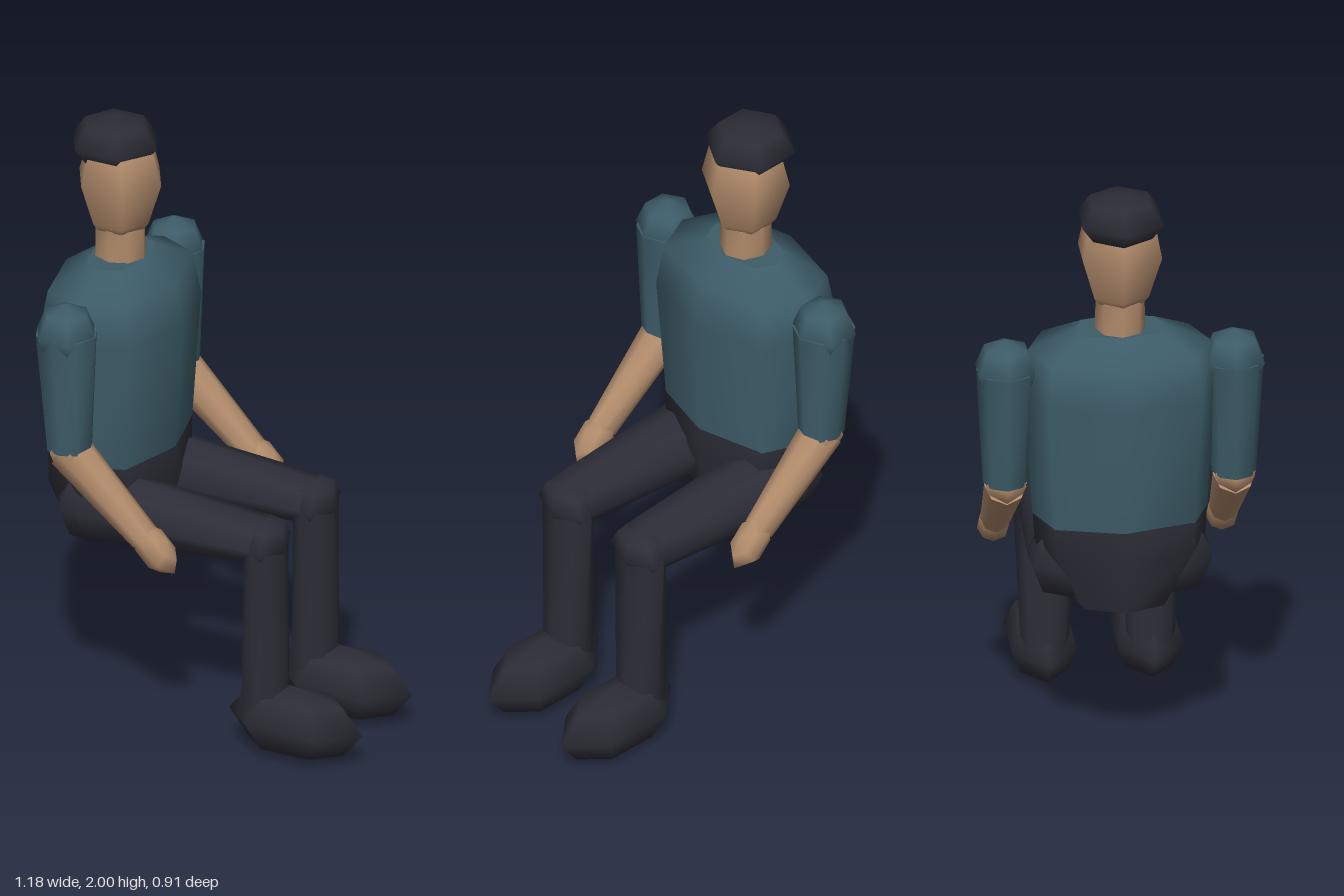
import * as THREE from 'three';

const CX = -0.367;  // body axis, the figure looks along +x
const CZ = -0.008;

// Loft of elliptical rings [x, y, radius in the xy plane, radius in z] along direction (dx, dy)
function loft(rings, dx, dy, sides, zPower = 1) {
  const len = Math.hypot(dx, dy), ux = dy / len, uy = -dx / len;
  const pos = [], idx = [];
  const addRing = ([x, y, ru, rz]) => {
    const start = pos.length / 3;
    for (let i = 0; i < sides; i++) {
      const a = (i / sides) * Math.PI * 2, c = Math.cos(a) * ru, s = Math.sin(a);
      pos.push(x + ux * c, y + uy * c, Math.sign(s) * Math.abs(s) ** zPower * rz);
    }
    return start;
  };
  const starts = rings.map(addRing);
  for (let k = 0; k < rings.length - 1; k++) {
    for (let i = 0; i < sides; i++) {
      const j = (i + 1) % sides;
      const a = starts[k] + i, b = starts[k] + j, c = starts[k + 1] + i, d = starts[k + 1] + j;
      idx.push(a, c, b, b, c, d);
    }
  }
  // flat caps with their own vertices
  const lo = addRing(rings[0]), hi = addRing(rings[rings.length - 1]);
  for (let i = 1; i < sides - 1; i++) {
    idx.push(lo, lo + i, lo + i + 1, hi, hi + i + 1, hi + i);
  }
  const g = new THREE.BufferGeometry();
  g.setAttribute('position', new THREE.Float32BufferAttribute(pos, 3));
  g.setIndex(idx);
  g.computeVertexNormals();
  return g;
}

export function createModel() {
  const mat = (name, color) => {
    const m = new THREE.MeshStandardMaterial({ color });
    m.name = name;
    return m;
  };
  const shirt = mat('teal shirt', 0x3d5c68);
  const skin = mat('skin', 0xb08a6a);
  const trousers = mat('dark trousers', 0x2d2d38);
  const dark = mat('dark hair and shoes', 0x2c2c36);

  const model = new THREE.Group();
  model.name = 'seatedFigure';

  const add = (parent, name, geometry, material) => {
    const m = new THREE.Mesh(geometry, material);
    m.name = name;
    parent.add(m);
    return m;
  };
  const upright = (parent, name, rings, sides, material, zPower) =>
    add(parent, name, loft(rings.map(([y, rx, rz, x = CX]) => [x, y, rx, rz]), 0, 1, sides, zPower), material);
  const limb = (parent, name, a, b, sides, material) =>
    add(parent, name, loft([a, b], b[0] - a[0], b[1] - a[1], sides), material);
  const ball = (parent, name, x, y, rx, ry, rz, material, tilt = 0) => {
    const m = add(parent, name, new THREE.SphereGeometry(1, 6, 4), material);
    m.scale.set(rx, ry, rz);
    m.position.set(x, y, 0);
    m.rotation.z = tilt;
    return m;
  };

  // Trunk
  const trunk = new THREE.Group();
  trunk.name = 'trunk';
  trunk.position.z = CZ;
  model.add(trunk);
  upright(trunk, 'torso', [
    [0.89, 0.197, 0.278], [1.32, 0.225, 0.308], [1.46, 0.192, 0.293], [1.525, 0.09, 0.145],
  ], 8, shirt, 0.67);
  upright(trunk, 'pelvis', [
    [0.6, 0.165, 0.16], [0.79, 0.202, 0.27], [0.9, 0.197, 0.278],
  ], 8, trousers, 0.67);

  // Head
  upright(trunk, 'neck', [[1.5, 0.085, 0.08], [1.63, 0.083, 0.078]], 8, skin);
  upright(trunk, 'head', [
    [1.625, 0.082, 0.082], [1.648, 0.1, 0.1], [1.79, 0.146, 0.145], [1.9, 0.114, 0.122], [1.94, 0.06, 0.065],
  ], 6, skin);
  ball(trunk, 'hair', -0.386, 1.915, 0.149, 0.085, 0.149, dark);

  for (const [side, s] of [['left', -1], ['right', 1]]) {
    // Arm, hanging and bent forward at the elbow
    const arm = new THREE.Group();
    arm.name = side + 'Arm';
    arm.position.z = CZ + s * 0.363;
    model.add(arm);
    ball(arm, 'shoulder', CX, 1.395, 0.105, 0.105, 0.105, shirt);
    limb(arm, 'upperArm', [-0.355, 1.0, 0.075, 0.071], [CX, 1.4, 0.104, 0.094], 8, shirt);
    ball(arm, 'elbow', -0.355, 0.995, 0.073, 0.073, 0.073, skin);
    limb(arm, 'forearm', [-0.36, 0.995, 0.073, 0.068], [-0.085, 0.745, 0.05, 0.048], 8, skin);
    ball(arm, 'hand', -0.05, 0.715, 0.1, 0.056, 0.058, skin, -0.8);

    // Leg, level thigh and upright shin
    const leg = new THREE.Group();
    leg.name = side + 'Leg';
    leg.position.z = CZ + s * 0.168;
    model.add(leg);
    ball(leg, 'hip', CX, 0.73, 0.135, 0.135, 0.135, trousers);
    limb(leg, 'thigh', [CX, 0.725, 0.13, 0.122], [0.24, 0.73, 0.071, 0.105], 8, trousers);
    ball(leg, 'knee', 0.237, 0.725, 0.078, 0.078, 0.118, trousers, -0.15);
    limb(leg, 'shin', [0.24, 0.13, 0.08, 0.076], [0.242, 0.73, 0.058, 0.105], 8, trousers);
    ball(leg, 'shoe', 0.348, 0.118, 0.238, 0.118, 0.121, dark);
  }
  return model;
}
